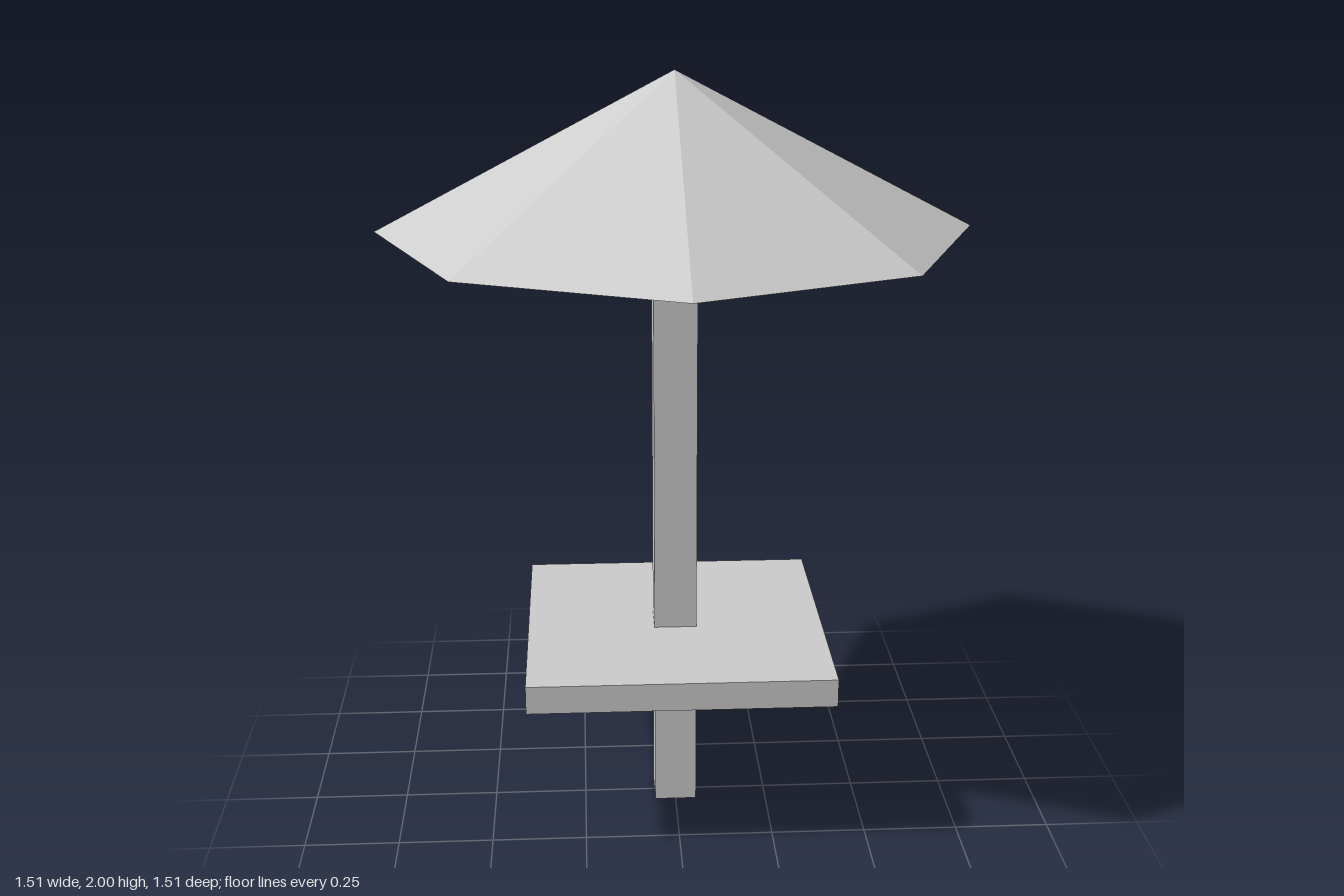
import * as THREE from 'three';

export function createModel() {
  const group = new THREE.Group();
  const paleGrey = new THREE.MeshStandardMaterial({ color: 0xcccccc, flatShading: true });
  paleGrey.name = 'paleGrey';

  const add = (name, geometry, y) => {
    const mesh = new THREE.Mesh(geometry, paleGrey);
    mesh.name = name;
    mesh.position.y = y;
    group.add(mesh);
  };

  // Square post from the ground to the underside of the canopy
  add('post', new THREE.BoxGeometry(0.113, 1.604, 0.113), 0.802);

  // Square table top around the post
  add('tableTop', new THREE.BoxGeometry(0.792, 0.075, 0.792), 0.4875);

  // Eight-sided canopy with a closed underside, corners on the axes
  add('canopy', new THREE.ConeGeometry(0.755, 0.396, 8), 1.802);

  return group;
}
